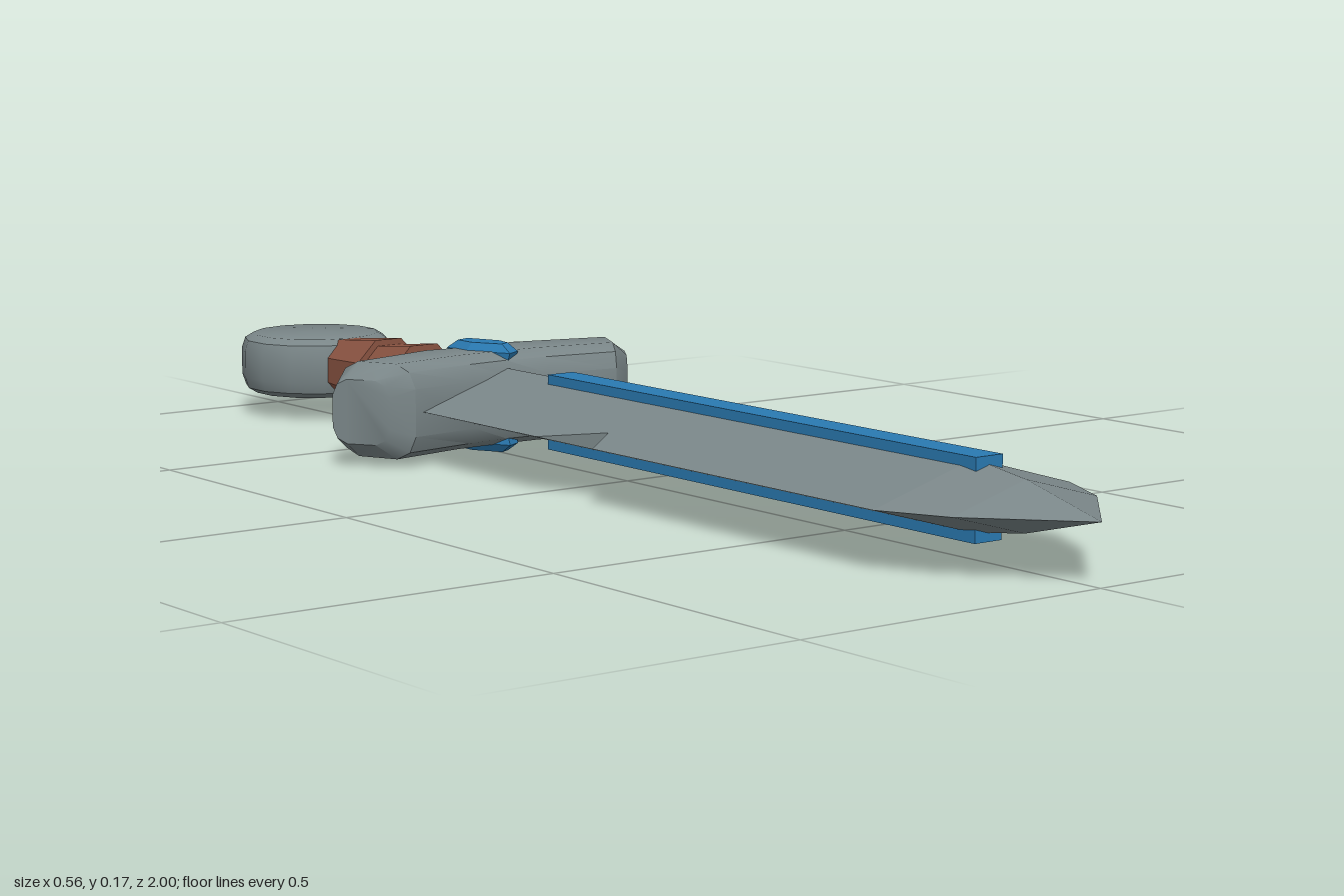
import * as THREE from 'three';
import { toCreasedNormals } from 'three/addons/utils/BufferGeometryUtils.js';
import { ConvexGeometry } from 'three/addons/geometries/ConvexGeometry.js';

const MID = 0.087; // height of the sword's flat centre plane

// Skin a list of rings (counter-clockwise seen from the end) and cap both ends.
function loft(rings) {
  const pos = [];
  const tri = (a, b, c) => {
    const area = b.clone().sub(a).cross(c.clone().sub(a)).length();
    if (area > 1e-9) for (const p of [a, b, c]) pos.push(p.x, p.y, p.z);
  };
  const n = rings[0].length;
  for (let i = 0; i < rings.length - 1; i++) {
    for (let j = 0; j < n; j++) {
      const k = (j + 1) % n;
      const a = rings[i][j], b = rings[i][k], c = rings[i + 1][k], d = rings[i + 1][j];
      tri(a, b, c);
      tri(a, c, d);
    }
  }
  const first = rings[0], last = rings[rings.length - 1];
  for (let j = 1; j < n - 1; j++) {
    tri(first[0], first[j + 1], first[j]);
    tri(last[0], last[j], last[j + 1]);
  }
  const g = new THREE.BufferGeometry();
  g.setAttribute('position', new THREE.Float32BufferAttribute(pos, 3));
  g.computeVertexNormals();
  return g;
}

// Diamond section with nicks cut into both edges.
function bladeGeometry() {
  const W = 0.177;
  // z, left width, right width, spine half thickness
  const stations = [
    [-0.36, W, W, 0.05], [0.01, W, W, 0.05], [0.12, 0.125, W, 0.05], [0.15, W, W, 0.05],
    [0.28, W, W, 0.05], [0.31, W, 0.125, 0.05], [0.42, W, W, 0.05], [0.76, W, W, 0.05],
    [0.86, 0.13, 0.13, 0.036], [1, 0, 0, 0],
  ];
  return loft(stations.map(([z, l, r, h]) => {
    const edge = (w) => (z > 0.76 ? 0 : h * (1 - w / W));
    return [
      [r, -edge(r)], [r, edge(r)], [0, h], [-l, edge(l)], [-l, -edge(l)], [0, -h],
    ].map(([x, y]) => new THREE.Vector3(x, y, z));
  }));
}

// Rounded bar whose two arms sweep towards the blade.
function guardGeometry() {
  const section = [[1, -0.5], [1, 0.5], [0.84, 0.84], [0.5, 1], [-0.5, 1], [-0.84, 0.84],
    [-1, 0.5], [-1, -0.5], [-0.84, -0.84], [-0.5, -1], [0.5, -1], [0.84, -0.84]];
  // x, z, half depth, half height, tilt
  const half = [
    [0.08, -0.375, 0.078, 0.074, 0.1],
    [0.222, -0.343, 0.068, 0.074, 0.45],
    [0.254, -0.34, 0.048, 0.05, 0.58],
  ];
  const mirrored = half.map(([x, z, d, h, t]) => [-x, z, d, h, -t]).reverse();
  const stations = [...mirrored, [0, -0.371, 0.067, 0.074, 0], ...half];
  const g = loft(stations.map(([x, z, d, h, t]) => section.map(([sy, sz]) =>
    new THREE.Vector3(x - sz * d * Math.sin(t), sy * h, z + sz * d * Math.cos(t)))));
  return toCreasedNormals(g, 0.65);
}

// Faceted slanted stone, side is +1 for the top and -1 for the underside.
function gemGeometry(side) {
  const outline = [[-0.033, -0.43], [0.002, -0.443], [0.036, -0.365], [0.03, -0.325],
    [0.004, -0.31], [-0.033, -0.375]];
  const points = [];
  for (const [y, s] of [[0.055, 0.9], [0.073, 1], [0.086, 0.7]]) {
    for (const [x, z] of outline) {
      points.push(new THREE.Vector3(x * s, y * side, -0.376 + (z + 0.376) * s));
    }
  }
  return new ConvexGeometry(points);
}

export function createModel() {
  const steel = new THREE.MeshStandardMaterial({ color: 0x7a8688 });
  const blue = new THREE.MeshStandardMaterial({ color: 0x2a7ab2 });
  const leather = new THREE.MeshStandardMaterial({ color: 0x8b5442 });
  steel.name = 'steel';
  blue.name = 'blue';
  leather.name = 'leather';

  const sword = new THREE.Group();
  sword.name = 'sword';
  const add = (name, geometry, material, y = 0, z = 0) => {
    const mesh = new THREE.Mesh(geometry, material);
    mesh.name = name;
    mesh.position.set(0, MID + y, z);
    sword.add(mesh);
    return mesh;
  };

  add('blade', bladeGeometry(), steel);
  add('guard', guardGeometry(), steel);

  // Inlay strip and guard stone on both faces
  for (const side of [1, -1]) {
    const face = side > 0 ? 'top' : 'bottom';
    add(face + 'Inlay', new THREE.BoxGeometry(0.048, 0.02, 0.96), blue, side * 0.048, 0.31);
    add(face + 'Gem', gemGeometry(side), blue);
  }

  // Grip wraps: each flares towards the blade
  const wraps = [[-0.77, -0.65, 0.048, 0.06], [-0.65, -0.545, 0.05, 0.062], [-0.545, -0.42, 0.051, 0.053]];
  wraps.forEach(([z0, z1, back, front], i) => {
    const k = 1 / Math.cos(Math.PI / 8);
    const g = new THREE.CylinderGeometry(front * k, back * k, z1 - z0, 8);
    g.rotateY(Math.PI / 8).rotateX(Math.PI / 2);
    const flat = g.toNonIndexed();
    flat.computeVertexNormals();
    add('gripWrap' + (i + 1), flat, leather, 0, (z0 + z1) / 2);
  });

  // Disc pommel
  const profile = [[0, -0.049], [0.105, -0.049], [0.12, -0.04], [0.126, -0.022],
    [0.126, 0.022], [0.12, 0.04], [0.105, 0.049], [0, 0.049]].map(([x, y]) => new THREE.Vector2(x, y));
  add('pommel', toCreasedNormals(new THREE.LatheGeometry(profile, 14), 0.6), steel, 0, -0.874);

  return sword;
}
